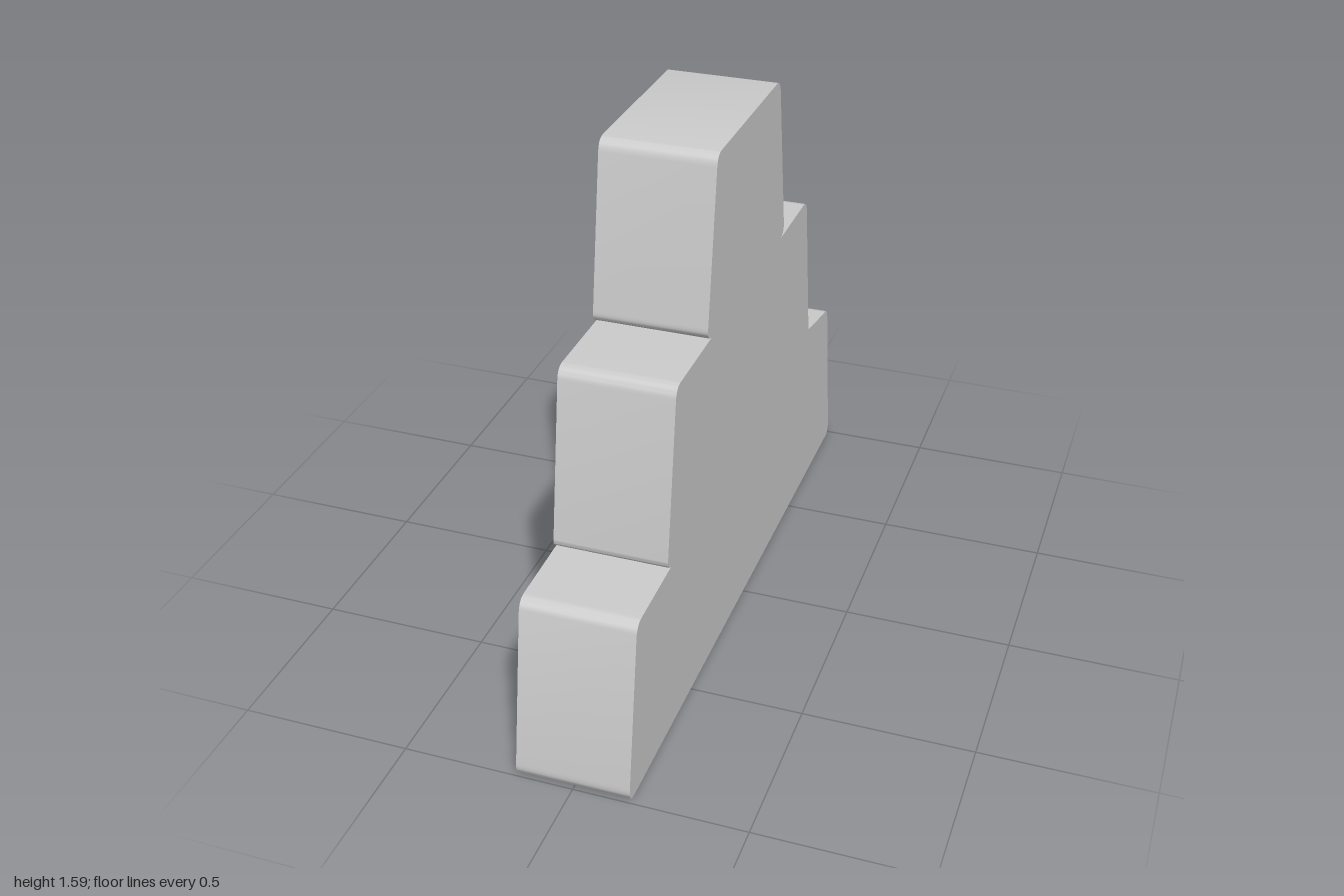
import * as THREE from 'three';
import { toCreasedNormals } from 'three/addons/utils/BufferGeometryUtils.js';

const DEPTH = 0.33;

// Trace one half of the profile (bottom to top); s = 1 is the front, s = -1 the back.
// Each entry is a line end [z, y] or a rounded corner [cornerZ, cornerY, endZ, endY].
const HALF = [
  [0.965, 0], [1.005, 0, 0.997, 0.045],             // base corner
  [0.927, 0.5], [0.92, 0.538, 0.885, 0.538],        // lower shoulder
  [0.66, 0.543], [0.69, 0.55, 0.683, 0.58],         // middle tier foot
  [0.614, 1.035], [0.608, 1.07, 0.575, 1.07],       // middle shoulder
  [0.325, 1.07], [0.362, 1.078, 0.355, 1.11],       // top tier foot
  [0.287, 1.55], [0.28, 1.585, 0.25, 1.585],        // top corner
];

function profile() {
  const shape = new THREE.Shape();
  shape.moveTo(0, 0);
  for (const p of HALF) {
    if (p.length === 2) shape.lineTo(p[0], p[1]);
    else shape.quadraticCurveTo(...p);
  }
  // mirrored half, walked from the top back to the base
  for (let i = HALF.length - 1; i >= 0; i--) {
    const p = HALF[i];
    const end = p.slice(-2);
    if (i === HALF.length - 1) shape.lineTo(-end[0], end[1]);
    if (p.length === 4) {
      const start = HALF[i - 1];
      shape.quadraticCurveTo(-p[0], p[1], -start[0], start[1]);
    } else if (i > 0) {
      const before = HALF[i - 1].slice(-2);
      shape.lineTo(-before[0], before[1]);
    }
  }
  shape.closePath();
  return shape;
}

export function createModel() {
  const group = new THREE.Group();
  group.name = 'steppedBlock';

  // Three-tier slab, extruded across its thickness
  const slab = new THREE.ExtrudeGeometry(profile(), { depth: DEPTH, bevelEnabled: false, curveSegments: 8 });
  slab.translate(0, 0, -DEPTH / 2).rotateY(-Math.PI / 2);
  const body = new THREE.Mesh(toCreasedNormals(slab, 0.6), new THREE.MeshStandardMaterial({ color: 0xcccccc }));
  body.name = 'tieredBody';
  group.add(body);

  // Thin web over the lower back step, on the +x side only
  const webShape = new THREE.Shape([
    new THREE.Vector2(-0.92, 0.53), new THREE.Vector2(-0.66, 0.543), new THREE.Vector2(-0.682, 0.577),
  ]);
  const web = new THREE.Mesh(
    new THREE.ShapeGeometry(webShape).translate(0, 0, -DEPTH / 2).rotateY(-Math.PI / 2),
    new THREE.MeshStandardMaterial({ color: 0xcccccc, side: THREE.DoubleSide }),
  );
  web.name = 'backStepWeb';
  group.add(web);

  return group;
}
